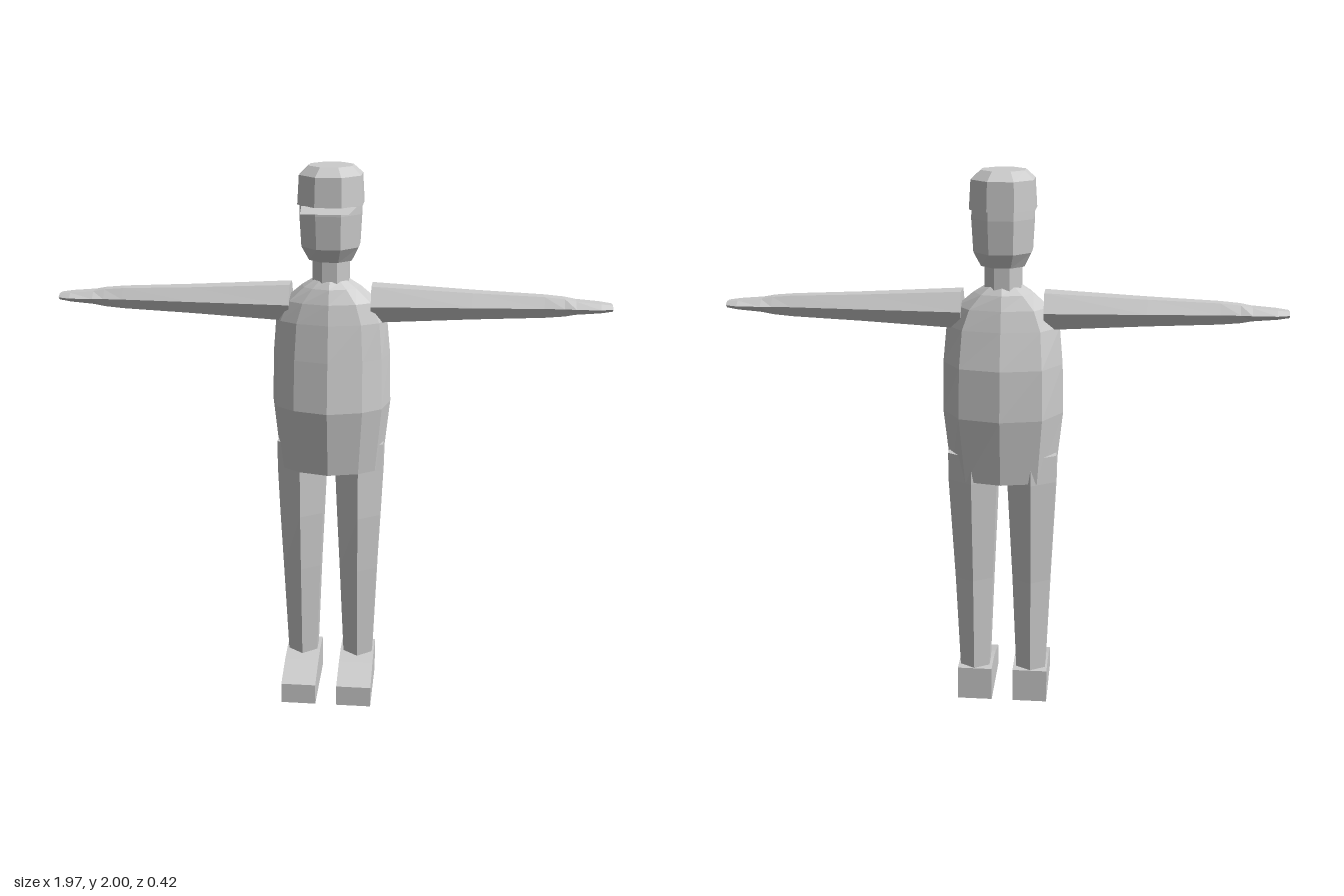
import * as THREE from 'three';

const grey = new THREE.MeshStandardMaterial({ color: 0xcccccc, flatShading: true, side: THREE.DoubleSide });
grey.name = 'plain grey';

// Skin closed rings of [x, y, z] points, listed bottom to top, and cap both ends
function loft(rings) {
  const n = rings[0].length, last = rings.length - 1, pos = [];
  const tri = (a, b, c) => pos.push(...a, ...b, ...c);
  for (let i = 0; i < last; i++) {
    for (let j = 0; j < n; j++) {
      const k = (j + 1) % n;
      tri(rings[i][j], rings[i][k], rings[i + 1][k]);
      tri(rings[i][j], rings[i + 1][k], rings[i + 1][j]);
    }
  }
  for (let j = 1; j < n - 1; j++) {
    tri(rings[0][0], rings[0][j + 1], rings[0][j]);
    tri(rings[last][0], rings[last][j], rings[last][j + 1]);
  }
  const geo = new THREE.BufferGeometry();
  geo.setAttribute('position', new THREE.Float32BufferAttribute(pos, 3));
  geo.computeVertexNormals();
  return geo;
}

// Polygon ring; rx and rz are vertex radii
function polygon(n, phase, y, rx, rz, cz = 0) {
  return Array.from({ length: n }, (_, j) => {
    const a = (j + phase) / n * Math.PI * 2;
    return [Math.sin(a) * rx, y, cz + Math.cos(a) * rz];
  });
}

// Octagon ring with flat sides facing front; w and d are half extents
const octagon = (y, w, d, cz) => polygon(8, 0.5, y, w / Math.cos(Math.PI / 8), d / Math.cos(Math.PI / 8), cz);
// Hexagon ring with points facing front and back
const hexagon = (y, w, d, cz) => polygon(6, 0, y, w / Math.cos(Math.PI / 6), d, cz);

export function createModel() {
  const model = new THREE.Group();
  const add = (name, geo, x = 0, y = 0, z = 0) => {
    const mesh = new THREE.Mesh(geo, grey);
    mesh.name = name;
    mesh.position.set(x, y, z);
    model.add(mesh);
    return mesh;
  };

  // Torso: one body section scaled to the half width, front and back at each height
  const half = [[0, 1], [0.57, 0.8], [0.88, 0.5], [1, -0.12], [0.68, -0.8], [0, -1]];
  const section = [...half, ...half.slice(1, -1).reverse().map(([x, z]) => [-x, z])];
  const torso = [
    [0.905, 0.19, 0.095, -0.175],
    [1.15, 0.216, 0.13, -0.21],
    [1.33, 0.212, 0.103, -0.2],
    [1.46, 0.2, 0.08, -0.165],
    [1.53, 0.165, 0.065, -0.145],
    [1.58, 0.105, 0.045, -0.125],
    [1.605, 0.065, 0.025, -0.105],
  ].map(([y, w, f, b]) => section.map(([x, z]) => [x * w, y, (f + b) / 2 + z * (f - b) / 2]));
  add('torso', loft(torso));

  // Neck, head and cap
  add('neck', loft([octagon(1.58, 0.064, 0.064, -0.042), octagon(1.69, 0.064, 0.064, -0.042)]));
  add('head', loft([
    octagon(1.675, 0.075, 0.075, -0.042),
    octagon(1.725, 0.1, 0.108, -0.04),
    octagon(1.84, 0.106, 0.116, -0.04),
    octagon(1.9, 0.104, 0.114, -0.04),
  ]));
  add('cap', loft([
    octagon(1.87, 0.113, 0.121, -0.043),
    octagon(1.97, 0.107, 0.116, -0.044),
    octagon(2.0, 0.075, 0.078, -0.042),
  ]));
  const brim = new THREE.Shape([[-0.095, -0.04], [0.095, -0.04], [0.08, -0.21], [-0.08, -0.21]]
    .map(([x, y]) => new THREE.Vector2(x, y)));
  add('capBrim', new THREE.ShapeGeometry(brim).rotateX(-Math.PI / 2), 0, 1.87, 0);

  // Arms, legs and shoes
  const arm = loft([
    hexagon(0.145, 0.065, 0.076),
    hexagon(0.5, 0.047, 0.058),
    hexagon(0.75, 0.037, 0.044),
    hexagon(0.82, 0.031, 0.043),
    hexagon(0.86, 0.023, 0.047),
    hexagon(0.945, 0.016, 0.047),
    hexagon(0.987, 0.011, 0.032),
  ]).rotateZ(-Math.PI / 2);
  const leg = loft([
    hexagon(0.12, 0.055, 0.063, -0.043),
    hexagon(0.5, 0.07, 0.083, -0.038),
    hexagon(0.72, 0.08, 0.1, -0.043),
    hexagon(0.9, 0.088, 0.108, -0.052),
    hexagon(1.0, 0.088, 0.108, -0.052),
  ]);
  const sole = new THREE.Shape([[-0.11, 0], [0.18, 0], [0.18, 0.08], [0.06, 0.118], [-0.01, 0.13], [-0.11, 0.13]]
    .map(([x, y]) => new THREE.Vector2(x, y)));
  const shoe = new THREE.ExtrudeGeometry(sole, { depth: 0.13, bevelEnabled: false })
    .translate(0, 0, -0.065).rotateY(-Math.PI / 2);
  for (const [side, s] of [['left', 1], ['right', -1]]) {
    add(side + 'Arm', arm, 0, 1.52, -0.044).rotation.y = s > 0 ? 0 : Math.PI;
    add(side + 'Leg', leg, s * 0.107);
    add(side + 'Shoe', shoe, s * 0.105);
  }
  return model;
}
